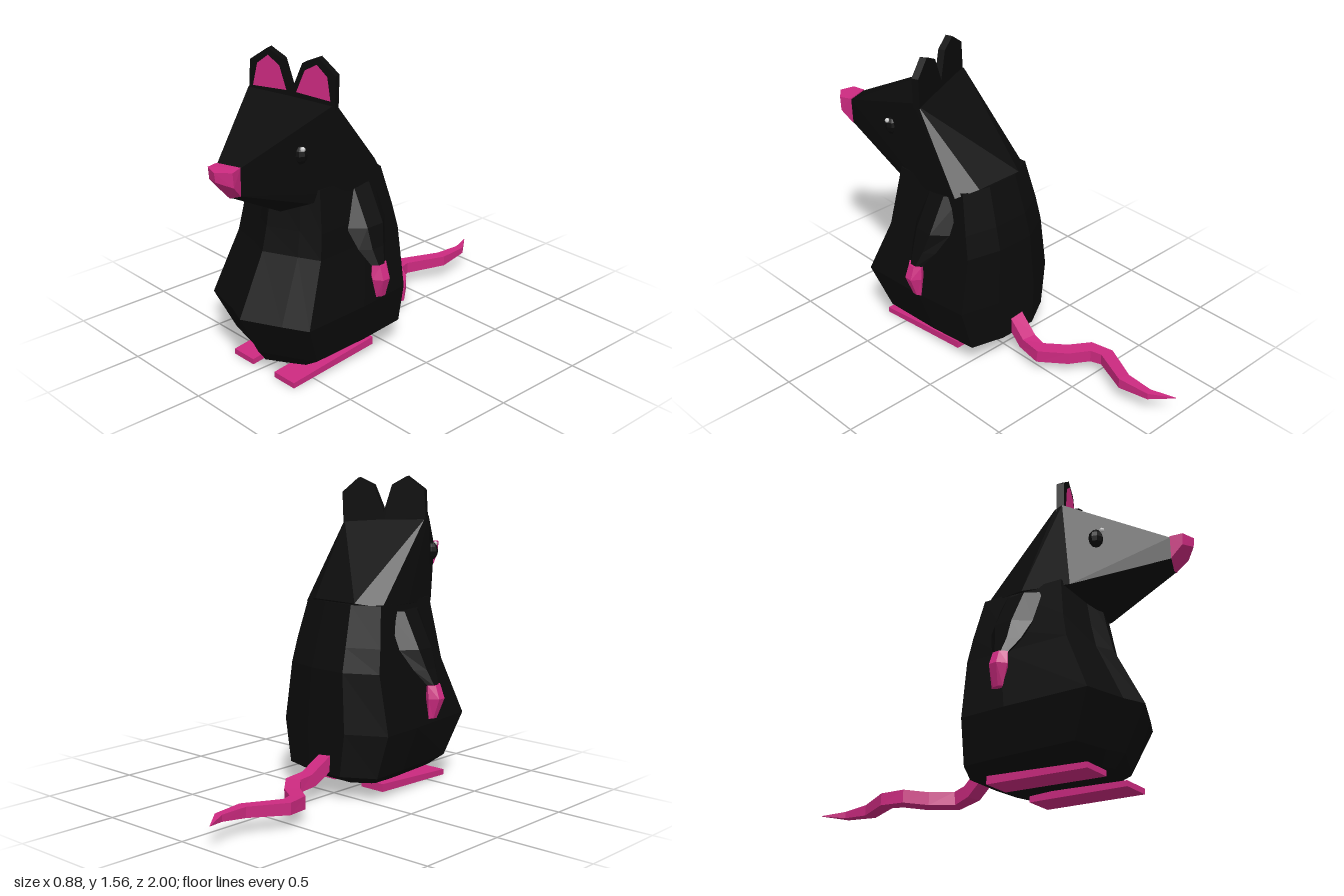
import * as THREE from 'three';
import { ConvexGeometry } from 'three/addons/geometries/ConvexGeometry.js';

const V = (x, y, z) => new THREE.Vector3(x, y, z);
const paint = (color) => new THREE.MeshStandardMaterial({ color, flatShading: true });
const fur = paint(0x0b0b0b);
const pink = paint(0xcc2a80);
const white = paint(0xffffff);

function part(name, geometry, material) {
  const mesh = new THREE.Mesh(geometry, material);
  mesh.name = name;
  return mesh;
}

// Skin a list of rings (equal point counts), cap both ends, and face outwards
function loft(rings) {
  const n = rings[0].length;
  const tris = [];
  for (let i = 0; i < rings.length - 1; i++) {
    for (let j = 0; j < n; j++) {
      const k = (j + 1) % n;
      const [a, b, c, d] = [rings[i][j], rings[i][k], rings[i + 1][k], rings[i + 1][j]];
      tris.push([a, d, c], [a, c, b]);
    }
  }
  const first = rings[0], last = rings[rings.length - 1];
  const middle = (r) => r.reduce((s, p) => s.add(p), V(0, 0, 0)).divideScalar(n);
  const m0 = middle(first), m1 = middle(last);
  for (let j = 0; j < n; j++) {
    const k = (j + 1) % n;
    tris.push([m0, first[j], first[k]], [m1, last[k], last[j]]);
  }
  const volume = tris.reduce((s, [a, b, c]) => s + a.dot(b.clone().cross(c)), 0);
  if (volume < 0) tris.forEach((t) => t.reverse());
  const geometry = new THREE.BufferGeometry().setFromPoints(tris.flat());
  geometry.computeVertexNormals();
  return geometry;
}

const hull = (points) => new ConvexGeometry(points.map((p) => V(...p)));

// Level six-sided rings from [x, y, z, half width, half depth]
const HEX = [[-1, -0.4], [0, -1], [1, -0.4], [1, 0.4], [0, 1], [-1, 0.4]];
const hexLoft = (sections, side, dz) => loft(sections.map(([x, y, z, hx, hz]) =>
  HEX.map(([u, w]) => V(side * (x + u * hx), y, z + dz + w * hz))));

function makeBody() {
  const outline = [[-0.45, -1], [0.25, -1], [0.85, -0.88], [0.95, -0.2], [1, 0.63], [0.65, 0.78],
    [0.1, 1], [-0.22, 0.9], [-0.83, 0.79], [-0.96, -0.2], [-1, -0.75]];
  // y, left and right x, back and front z
  const levels = [
    [0.06, -0.18, 0.20, 0.04, 0.62],
    [0.125, -0.28, 0.30, -0.09, 0.67],
    [0.34, -0.33, 0.36, -0.08, 0.78],
    [0.64, -0.28, 0.305, -0.07, 0.63],
    [0.76, -0.265, 0.29, -0.04, 0.6],
    [0.96, -0.23, 0.255, 0.015, 0.56],
  ];
  return part('body', loft(levels.map(([y, x0, x1, z0, z1]) => outline.map(([u, w]) =>
    V((x0 + x1 + u * (x1 - x0)) / 2, y, (z0 + z1 + w * (z1 - z0)) / 2)))), fur);
}

function makeHead() {
  const group = new THREE.Group();
  group.name = 'head';
  // Skull, turned to the left and running back into the shoulders
  group.add(part('skull', hull([
    [-0.175, 1.365, 0.51], [0.24, 1.335, 0.37], [-0.18, 1.35, 0.47], [0.235, 1.33, 0.335],
    [-0.12, 0.97, 0.015], [0.14, 0.97, 0.015], [-0.225, 0.95, 0.1], [0.25, 0.94, 0.07],
    [-0.225, 0.95, 0.3], [0.255, 0.9, 0.3], [-0.17, 0.93, 0.54], [0.235, 0.9, 0.5],
    [0.02, 0.85, 0.6], [0.12, 0.85, 0.58],
    [0.115, 1.17, 0.92], [0.225, 1.17, 0.88], [0.12, 1.06, 0.92], [0.22, 1.04, 0.88], [0.17, 1.025, 0.9],
  ]), fur));
  group.add(part('nose', hull([
    [0.112, 1.175, 0.92], [0.228, 1.175, 0.88], [0.115, 1.06, 0.92], [0.224, 1.04, 0.88], [0.17, 1.02, 0.9],
    [0.13, 1.178, 0.98], [0.25, 1.172, 0.94], [0.2, 1.175, 1.0],
    [0.13, 1.12, 0.975], [0.25, 1.1, 0.935], [0.2, 1.13, 0.995],
  ]), pink));

  // Eyes with a small glint
  for (const [x, y, z, gx, gy, gz] of [
    [-0.09, 1.17, 0.64, -0.089, 1.205, 0.675],
    [0.228, 1.15, 0.55, 0.255, 1.182, 0.555],
  ]) {
    const eye = part('eye', new THREE.SphereGeometry(0.036, 8, 6), fur);
    eye.position.set(x, y, z);
    eye.scale.y = 1.3;
    const glint = part('eyeGlint', new THREE.SphereGeometry(0.012, 8, 6), white);
    glint.position.set(gx, gy, gz);
    group.add(eye, glint);
  }

  // Ears share the turn and slight tilt of the skull
  const ears = new THREE.Group();
  ears.name = 'ears';
  ears.position.set(0.035, 1.355, 0.42);
  ears.rotation.set(0, 0.36, -0.05);
  const rim = [[0.222, -0.03], [0.22, 0.13], [0.13, 0.2], [0.05, 0.16], [0, 0.025], [0, -0.03]];
  const inner = [[0.2, 0.01], [0.18, 0.12], [0.125, 0.168], [0.065, 0.13], [0.025, 0.02]];
  for (const side of [-1, 1]) {
    const shape = (pts) => new THREE.Shape(pts.map(([x, y]) => new THREE.Vector2(side * x, y)));
    const ear = part('ear', new THREE.ExtrudeGeometry(shape(rim), { depth: 0.036, bevelEnabled: false }), fur);
    ear.position.z = -0.018;
    const innerEar = part('innerEar', new THREE.ShapeGeometry(shape(inner)), pink);
    innerEar.position.z = 0.022;
    ears.add(ear, innerEar);
  }
  group.add(ears);
  return group;
}

function makeLimbs() {
  const group = new THREE.Group();
  group.name = 'limbs';
  const arm = [[0.2, 0.92, 0.2, 0.05, 0.12], [0.28, 0.74, 0.2, 0.065, 0.12],
    [0.335, 0.64, 0.21, 0.04, 0.085], [0.385, 0.56, 0.215, 0.022, 0.04]];
  const hand = [[0.388, 0.565, 0.215, 0.028, 0.046], [0.398, 0.5, 0.215, 0.042, 0.052],
    [0.393, 0.4, 0.205, 0.014, 0.032]];
  for (const side of [-1, 1]) {
    const dz = side < 0 ? 0.085 : 0;
    group.add(part('arm', hexLoft(arm, side, dz), fur), part('hand', hexLoft(hand, side, dz), pink));
  }
  // Wedge feet: toe and heel x, z range shared
  for (const [toe, heel] of [[-0.128, -0.165], [0.178, 0.155]]) {
    const end = (x, w, y0, y1, z) => [V(x - w, y0, z), V(x + w, y0, z), V(x + w, y1, z), V(x - w, y1, z)];
    group.add(part('foot', loft([end(heel, 0.07, 0.03, 0.07, 0.1), end(toe, 0.072, 0, 0.028, 0.63)]), pink));
  }
  return group;
}

// Tail: square section swept along a winding path
function makeTail() {
  const path = [[-0.02, 0.2, -0.05, 1], [0, 0.112, -0.18, 1], [0.01, 0.098, -0.28, 1],
    [-0.085, 0.094, -0.385, 0.98], [-0.185, 0.094, -0.45, 0.98], [-0.205, 0.097, -0.54, 0.9],
    [-0.115, 0.106, -0.735, 0.8], [-0.122, 0.112, -0.89, 0.5], [-0.19, 0.116, -1, 0.04]];
  const points = path.map(([x, y, z]) => V(x, y, z));
  const rings = points.map((p, i) => {
    const along = points[Math.min(i + 1, points.length - 1)].clone().sub(points[Math.max(i - 1, 0)]).normalize();
    const across = along.clone().cross(V(0, 1, 0)).normalize();
    const up = across.clone().cross(along);
    return [[-1, -1], [1, -1], [1, 1], [-1, 1]].map(([u, v]) => p.clone()
      .addScaledVector(across, u * 0.038 * path[i][3]).addScaledVector(up, v * 0.033 * path[i][3]));
  });
  return part('tail', loft(rings), pink);
}

export function createModel() {
  const model = new THREE.Group();
  model.name = 'rat';
  model.add(makeBody(), makeHead(), makeLimbs(), makeTail());
  return model;
}
